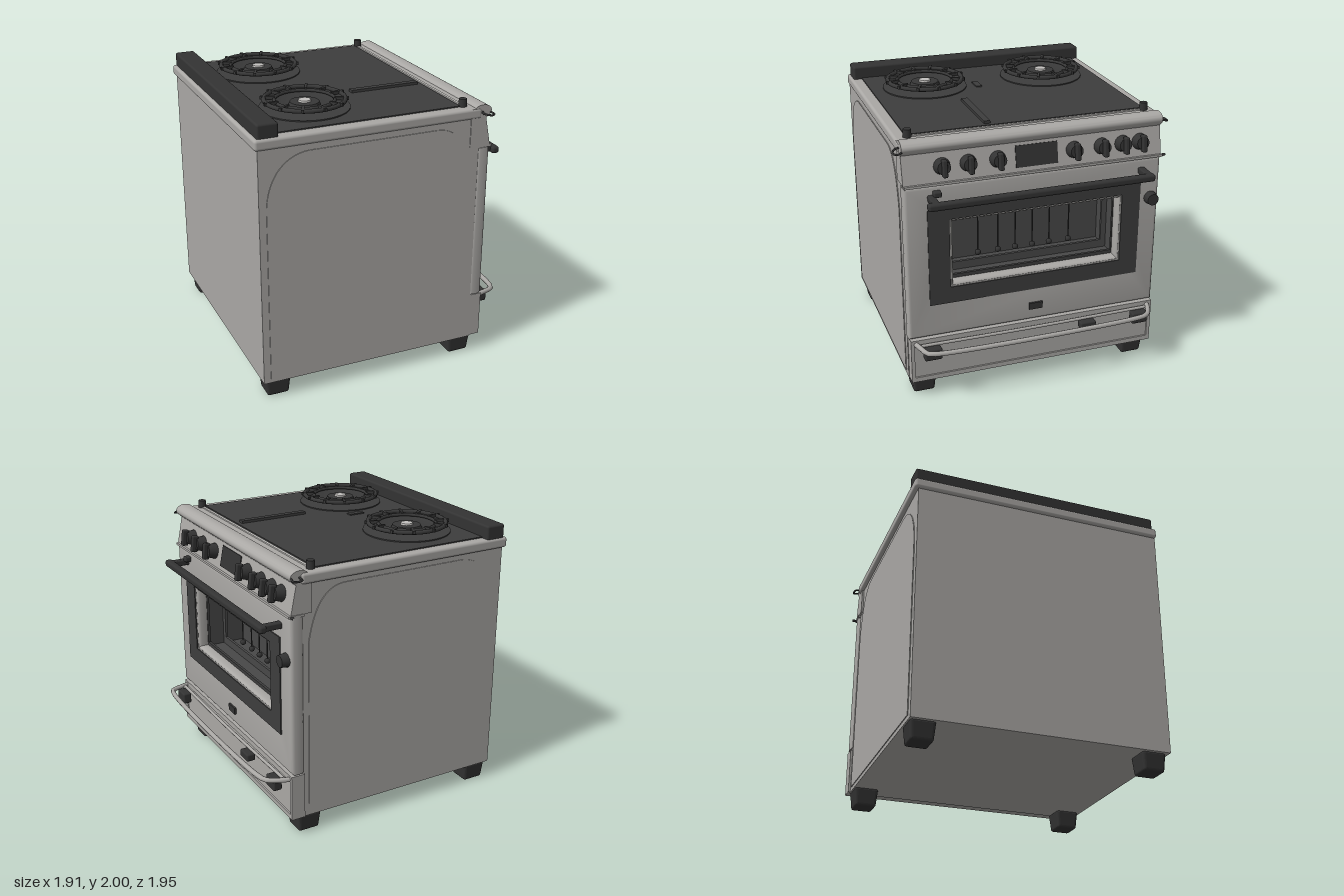
import * as THREE from 'three';
import { RoundedBoxGeometry } from 'three/addons/geometries/RoundedBoxGeometry.js';
import { toCreasedNormals } from 'three/addons/utils/BufferGeometryUtils.js';

// The oven door faces +x.
export function createModel() {
  const root = new THREE.Group();
  const material = (name, color, side = THREE.FrontSide) => {
    const m = new THREE.MeshStandardMaterial({ color, side });
    m.name = name;
    return m;
  };
  const steel = material('warm grey enamel', 0xaaa8a5);
  const black = material('black fittings', 0x333333);
  const glass = material('dark glass', 0x3d3d3d);
  const iron = material('cast iron', 0x383838, THREE.DoubleSide);
  const inner = material('oven interior', 0x484848, THREE.DoubleSide);
  const pale = material('pale metal', 0xc4c2bf);

  const add = (name, geo, mat, x = 0, y = 0, z = 0, parent = root) => {
    const m = new THREE.Mesh(geo, mat);
    m.name = name;
    m.position.set(x, y, z);
    parent.add(m);
    return m;
  };
  // Box given by its extents; r rounds the edges
  const box = (name, mat, x0, x1, y0, y1, z0, z1, r = 0, parent = root) => {
    const s = [x1 - x0, y1 - y0, z1 - z0];
    const g = r ? new RoundedBoxGeometry(...s, 3, r) : new THREE.BoxGeometry(...s);
    return add(name, g, mat, (x0 + x1) / 2, (y0 + y1) / 2, (z0 + z1) / 2, parent);
  };
  const tube = (name, mat, pts, r, parent = root) => add(name, new THREE.TubeGeometry(
    new THREE.CatmullRomCurve3(pts.map(p => new THREE.Vector3(...p)), false, 'centripetal'),
    48, r, 8), mat, 0, 0, 0, parent);
  const rect = (C, z0, z1, y0, y1) => {
    const p = new C();
    p.moveTo(-z1, y0); p.lineTo(-z0, y0); p.lineTo(-z0, y1); p.lineTo(-z1, y1); p.closePath();
    return p;
  };
  // Slab facing +x with a rectangular opening; extents are [z0, z1, y0, y1]
  const frame = (name, mat, x0, x1, outer, hole, bevel = 0) => {
    const inset = bevel ? [outer[0] + bevel, outer[1] - bevel, outer[2] + bevel, outer[3] - bevel] : outer;
    const s = rect(THREE.Shape, ...inset);
    s.holes.push(rect(THREE.Path, ...hole));
    const g = new THREE.ExtrudeGeometry(s, {
      depth: x1 - x0 - 2 * bevel, bevelEnabled: bevel > 0,
      bevelSize: bevel, bevelThickness: bevel, bevelSegments: 3
    });
    g.rotateY(Math.PI / 2);
    return add(name, toCreasedNormals(g, 0.6), mat, x0 + bevel, 0, 0);
  };

  // Cabinet with a hollow behind the window
  const hole = [-0.65, 0.61, 0.85, 1.36];
  box('cabinetRear', steel, -0.93, 0.36, 0.13, 1.85, -0.92, 0.91);
  frame('cabinetFront', steel, 0.36, 0.68, [-0.92, 0.91, 0.13, 1.85], hole);
  for (const [s, z] of [[1, 0.91], [-1, -0.926]]) {
    const p = new THREE.Shape();
    p.moveTo(-0.88, 0.16); p.lineTo(0.62, 0.16); p.lineTo(0.62, 1.42);
    p.bezierCurveTo(0.58, 1.66, 0.5, 1.79, 0.34, 1.79);
    p.lineTo(-0.58, 1.79);
    p.bezierCurveTo(-0.78, 1.78, -0.88, 1.6, -0.88, 1.4);
    p.closePath();
    add(s > 0 ? 'leftSidePanel' : 'rightSidePanel',
      new THREE.ExtrudeGeometry(p, { depth: 0.006, bevelEnabled: false, curveSegments: 16 }), steel, 0, 0, z);
  }

  // Tapered feet
  for (const x of [-0.815, 0.61]) for (const z of [-0.825, 0.8]) {
    const g = new RoundedBoxGeometry(0.17, 0.14, 0.165, 2, 0.02);
    const p = g.attributes.position;
    for (let i = 0; i < p.count; i++) {
      const k = 1 + (p.getY(i) < 0 ? -0.06 : 0.06);
      p.setX(i, p.getX(i) * k);
      p.setZ(i, p.getZ(i) * k);
    }
    g.computeVertexNormals();
    add('foot', g, black, x, 0.07, z);
  }

  // Top rim, glass hob and rear guard
  box('topRim', steel, -0.95, 0.68, 1.83, 1.905, -0.95, 0.92, 0.02);
  box('hobGlass', glass, -0.8, 0.55, 1.88, 1.913, -0.88, 0.84);
  box('rearGuard', black, -0.925, -0.78, 1.89, 2, -0.94, 0.9, 0.015);
  box('hobStrip', glass, 0, 0.52, 1.91, 1.932, 0.24, 0.285);
  box('hobMarker', glass, -0.39, -0.27, 1.91, 1.922, 0.04, 0.085);
  box('hobTrim', pale, 0.565, 0.585, 1.9, 1.914, -0.85, 0.81);
  for (const z of [-0.87, 0.83]) add('hobPost', new THREE.CylinderGeometry(0.027, 0.03, 0.06, 16), black, 0.575, 1.93, z);

  // Burners: shallow bowl, two rings, spokes and cap
  for (const z of [-0.48, 0.44]) {
    const b = new THREE.Group();
    b.name = 'burner';
    b.position.set(-0.42, 1.913, z);
    root.add(b);
    const v = (x, y) => new THREE.Vector2(x, y);
    add('burnerDish', new THREE.LatheGeometry([v(0, 0.02), v(0.14, 0.02), v(0.2, 0.035), v(0.27, 0.055)], 48), iron, 0, 0, 0, b);
    add('burnerBase', new THREE.CylinderGeometry(0.31, 0.31, 0.008, 48), glass, 0, 0.004, 0, b);
    for (const [r, t, y] of [[0.275, 0.016, 0.06], [0.205, 0.012, 0.055]])
      add('grateRing', new THREE.TorusGeometry(r, t, 8, 48).rotateX(Math.PI / 2), iron, 0, y, 0, b);
    for (let i = 0; i < 12; i++) {
      const a = i * Math.PI / 6 + 0.1;
      const s = add('grateSpoke', new THREE.BoxGeometry(0.1, 0.022, 0.018), iron, Math.cos(a) * 0.25, 0.064, -Math.sin(a) * 0.25, b);
      s.rotation.y = a;
    }
    add('burnerCap', new THREE.CylinderGeometry(0.1, 0.11, 0.025, 32), iron, 0, 0.03, 0, b);
    add('burnerCentre', new THREE.CylinderGeometry(0.042, 0.045, 0.014, 20), pale, 0, 0.048, 0, b);
  }

  // Control panel: rounded nose over a slightly sloping face
  const panel = new THREE.Shape();
  panel.moveTo(0.6, 1.63); panel.lineTo(0.755, 1.63); panel.lineTo(0.745, 1.68);
  panel.lineTo(0.715, 1.83); panel.lineTo(0.75, 1.86);
  panel.bezierCurveTo(0.77, 1.9, 0.73, 1.925, 0.69, 1.925);
  panel.bezierCurveTo(0.66, 1.925, 0.64, 1.92, 0.63, 1.9);
  panel.lineTo(0.6, 1.9); panel.closePath();
  add('controlPanel', toCreasedNormals(new THREE.ExtrudeGeometry(panel, { depth: 1.85, bevelEnabled: false }), 0.6),
    steel, 0, 0, -0.935);
  box('panelLedge', steel, 0.66, 0.772, 1.615, 1.632, -0.94, 0.91);
  const display = box('display', black, -0.005, 0.005, -0.075, 0.075, -0.15, 0.15);
  display.position.set(0.735, 1.735, -0.015);
  display.rotation.z = 0.197;
  for (const z of [0.645, 0.465, 0.26, -0.285, -0.49, -0.645, -0.775]) {
    const k = new THREE.Group();
    k.name = 'knob';
    k.position.set(0.73, 1.735, z);
    k.rotation.z = 0.12;
    root.add(k);
    add('knobBody', new THREE.CylinderGeometry(0.045, 0.058, 0.065, 20).rotateZ(-Math.PI / 2), black, 0.035, 0, 0, k);
    box('knobGrip', black, 0.05, 0.1, -0.06, 0.06, -0.017, 0.017, 0.01, k);
  }
  tube('leftWireHook', black, [[0.69, 1.88, 0.9], [0.68, 1.87, 0.94], [0.73, 1.86, 0.965], [0.76, 1.86, 0.94], [0.74, 1.87, 0.9]], 0.007);
  tube('rightWireHook', black, [[0.69, 1.88, -0.93], [0.69, 1.87, -0.97], [0.75, 1.87, -0.97], [0.75, 1.88, -0.93]], 0.007);
  tube('ledgePin', black, [[0.75, 1.622, -0.9], [0.75, 1.62, -0.97]], 0.01);

  // Oven door, glass surround and recessed interior
  frame('door', steel, 0.66, 0.757, [-0.935, 0.915, 0.48, 1.615], hole, 0.025);
  frame('windowSurround', glass, 0.757, 0.765, [-0.79, 0.76, 0.73, 1.44], hole);
  box('ovenBack', inner, 0.36, 0.37, 0.85, 1.36, -0.65, 0.61);
  const y0 = 0.855, y1 = 1.355, z0 = -0.645, z1 = 0.605;
  box('ovenFloor', inner, 0.36, 0.755, 0.85, y0 + 0.005, z0, z1);
  box('ovenRoof', inner, 0.36, 0.755, y1 - 0.005, 1.36, z0, z1);
  for (const [a, b] of [[-0.65, z0 + 0.005], [z1 - 0.005, 0.61]]) box('ovenWall', inner, 0.36, 0.755, 0.85, 1.36, a, b);
  frame('innerFrame', glass, 0.66, 0.68, hole, [-0.62, 0.58, 0.9, 1.34]);
  frame('rearFrame', inner, 0.52, 0.54, hole, [-0.6, 0.56, 0.92, 1.33]);
  for (const z of [0.33, 0.18, 0.05, -0.08, -0.21, -0.36]) {
    add('ovenRod', new THREE.CylinderGeometry(0.005, 0.005, 0.4, 8), black, 0.5, 1.14, z);
    add('rodFoot', new THREE.SphereGeometry(0.022, 12, 8), black, 0.5, 0.95, z);
  }
  box('ovenLamp', black, 0.56, 0.62, 1.325, 1.355, -0.1, 0.07);
  box('doorPlate', black, 0.755, 0.772, 0.57, 0.62, -0.065, 0.035);
  add('doorLatch', new THREE.CylinderGeometry(0.042, 0.05, 0.06, 16).rotateZ(-Math.PI / 2), black, 0.78, 1.31, -0.872);

  // Door handle
  box('handleBar', black, 0.865, 0.92, 1.498, 1.55, -0.825, 0.79, 0.018);
  for (const z of [-0.79, 0.73]) box('handleBracket', black, 0.74, 0.885, 1.505, 1.55, z - 0.025, z + 0.025, 0.01);
  box('handleLug', black, 0.75, 0.8, 1.54, 1.58, 0.665, 0.72, 0.01);

  // Lower drawer with its raised border and rail
  box('drawer', steel, 0.66, 0.75, 0.135, 0.47, -0.935, 0.905);
  frame('drawerBorder', steel, 0.75, 0.762, [-0.935, 0.905, 0.135, 0.47], [-0.91, 0.88, 0.17, 0.43]);
  tube('drawerRail', steel, [[0.75, 0.44, -0.9], [0.82, 0.44, -0.88], [0.9, 0.44, -0.83], [0.925, 0.44, -0.74],
    [0.925, 0.44, 0.74], [0.9, 0.44, 0.82], [0.82, 0.44, 0.85], [0.75, 0.44, 0.87]], 0.018);
  tube('drawerInnerRail', steel, [[0.79, 0.44, -0.87], [0.8, 0.44, 0], [0.79, 0.44, 0.84]], 0.012);
  for (const [a, b, y] of [[0.705, 0.83, 0.35], [-0.86, -0.74, 0.35], [-0.45, -0.33, 0.38]])
    box('railBracket', black, 0.795, 0.86, y, 0.435, a, b, 0.012);
  return root;
}
